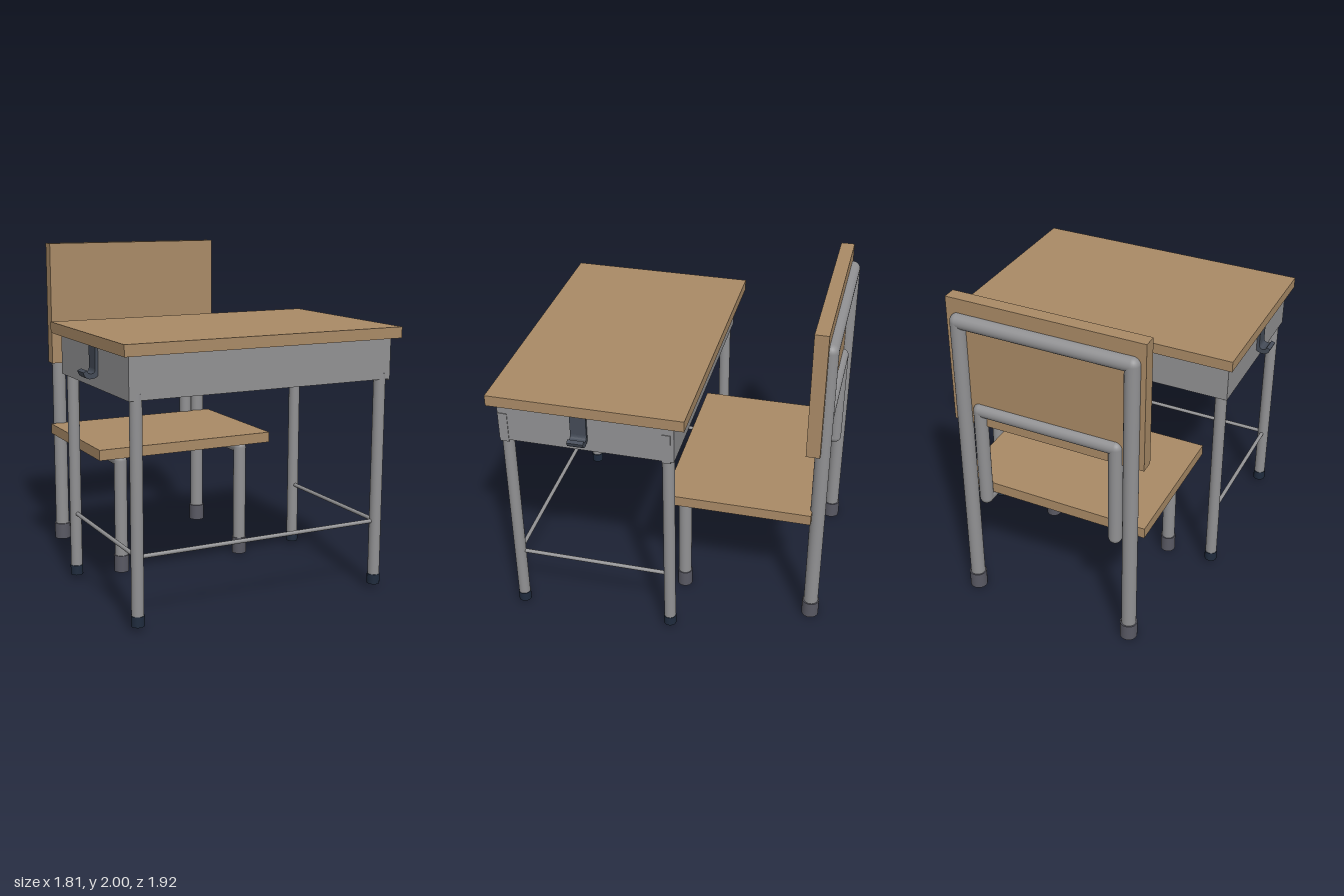
import * as THREE from 'three';

const mat = (name, color) => {
  const m = new THREE.MeshStandardMaterial({ color });
  m.name = name;
  return m;
};
const wood = mat('wood', 0xa98a66);
const metal = mat('grey metal', 0x919193);
const hookMetal = mat('dark hook metal', 0x444b57);
const deskRubber = mat('navy rubber', 0x1f2b3d);
const chairRubber = mat('grey rubber', 0x595963);

const TILT = 0.021; // slight turn of both pieces of furniture

function add(parent, name, geometry, material, x = 0, y = 0, z = 0) {
  const mesh = new THREE.Mesh(geometry, material);
  mesh.name = name;
  mesh.position.set(x, y, z);
  parent.add(mesh);
  return mesh;
}

function box(parent, name, w, y0, y1, d, material, x = 0, z = 0) {
  return add(parent, name, new THREE.BoxGeometry(w, y1 - y0, d), material, x, (y0 + y1) / 2, z);
}

function cap(parent, name, r, y0, y1, material, x, z) {
  return add(parent, name, new THREE.CylinderGeometry(r, r, y1 - y0, 24), material, x, (y0 + y1) / 2, z);
}

// Bent pipe: straight runs joined by round elbows
function pipe(parent, name, radius, points) {
  const group = new THREE.Group();
  group.name = name;
  const pts = points.map((p) => new THREE.Vector3(...p));
  for (let i = 0; i < pts.length - 1; i++) {
    const dir = pts[i + 1].clone().sub(pts[i]);
    const mid = pts[i].clone().add(pts[i + 1]).multiplyScalar(0.5);
    const run = add(group, name + 'Run', new THREE.CylinderGeometry(radius, radius, dir.length(), 24), metal, mid.x, mid.y, mid.z);
    run.quaternion.setFromUnitVectors(new THREE.Vector3(0, 1, 0), dir.normalize());
    if (i > 0) add(group, name + 'Elbow', new THREE.SphereGeometry(radius, 24, 14), metal, pts[i].x, pts[i].y, pts[i].z);
  }
  parent.add(group);
  return group;
}

// Bag hook: flat strip curling outwards and up at its end
function hookGeometry() {
  const s = new THREE.Shape();
  s.moveTo(0.805, 1.505);
  s.lineTo(0.835, 1.505);
  s.lineTo(0.835, 1.375);
  s.quadraticCurveTo(0.838, 1.35, 0.858, 1.352);
  s.quadraticCurveTo(0.875, 1.35, 0.882, 1.37);
  s.lineTo(0.904, 1.36);
  s.quadraticCurveTo(0.895, 1.32, 0.86, 1.322);
  s.quadraticCurveTo(0.81, 1.322, 0.805, 1.375);
  s.closePath();
  return new THREE.ExtrudeGeometry(s, { depth: 0.094, bevelEnabled: false, curveSegments: 8 }).translate(0, 0, -0.047);
}

function createDesk() {
  const desk = new THREE.Group();
  desk.name = 'desk';
  box(desk, 'deskTop', 1.72, 1.505, 1.57, 1.13, wood);
  box(desk, 'drawerBox', 1.636, 1.265, 1.505, 1.016, metal, 0, 0.01);

  const legX = 0.768, frontZ = 0.487, backZ = -0.453;
  for (const side of [-1, 1]) {
    for (const z of [frontZ, backZ]) {
      pipe(desk, 'deskLeg', 0.035, [[side * legX, 0.06, z], [side * legX, 1.3, z]]);
      cap(desk, 'deskFoot', 0.038, 0.025, 0.085, deskRubber, side * legX, z);
    }
    // side rail and bag hook
    pipe(desk, 'sideRail', 0.012, [[side * legX, 0.412, frontZ], [side * legX, 0.412, backZ]]);
    const hook = add(desk, 'bagHook', hookGeometry(), hookMetal, 0, 0, 0.042);
    if (side < 0) hook.rotation.y = Math.PI, hook.position.z = 0.042;
  }
  pipe(desk, 'frontRail', 0.012, [[-legX, 0.412, frontZ], [legX, 0.412, frontZ]]);
  // mounting strips above the legs
  for (const z of [frontZ, backZ]) box(desk, 'legStrip', 0.008, 1.255, 1.44, 0.05, metal, 0.818, z);

  desk.position.set(0, 0, 0.375);
  desk.rotation.y = TILT;
  return desk;
}

function createChair() {
  const chair = new THREE.Group();
  chair.name = 'chair';
  box(chair, 'seat', 1.172, 0.74, 0.805, 0.876, wood);
  box(chair, 'backrest', 1.172, 1.22, 2.0, 0.08, wood, 0, -0.422);

  // outer frame: rear legs joined behind the backrest
  const rx = 0.513, rz = -0.469, top = 1.872;
  pipe(chair, 'rearFrame', 0.044, [[-rx, 0.06, rz], [-rx, top, rz], [rx, top, rz], [rx, 0.06, rz]]);

  // inner frame: front legs, seat rails, uprights and lower crossbar
  const ix = 0.417, fz = 0.351, iz = -0.458, railY = 0.708, barY = 1.32;
  const half = [[ix, 0.06, fz], [ix, railY, fz], [ix, railY, iz], [ix, barY, iz]];
  const mirrored = half.map(([x, y, z]) => [-x, y, z]).reverse();
  pipe(chair, 'seatFrame', 0.04, [...half, ...mirrored]);

  for (const side of [-1, 1]) {
    cap(chair, 'rearFoot', 0.052, 0.0, 0.105, chairRubber, side * rx, rz);
    cap(chair, 'frontFoot', 0.046, 0.0, 0.105, chairRubber, side * ix, fz);
  }

  chair.position.set(-0.072, 0, -0.426);
  chair.rotation.y = TILT;
  return chair;
}

export function createModel() {
  const model = new THREE.Group();
  model.name = 'schoolDeskAndChair';
  model.add(createDesk(), createChair());
  return model;
}
